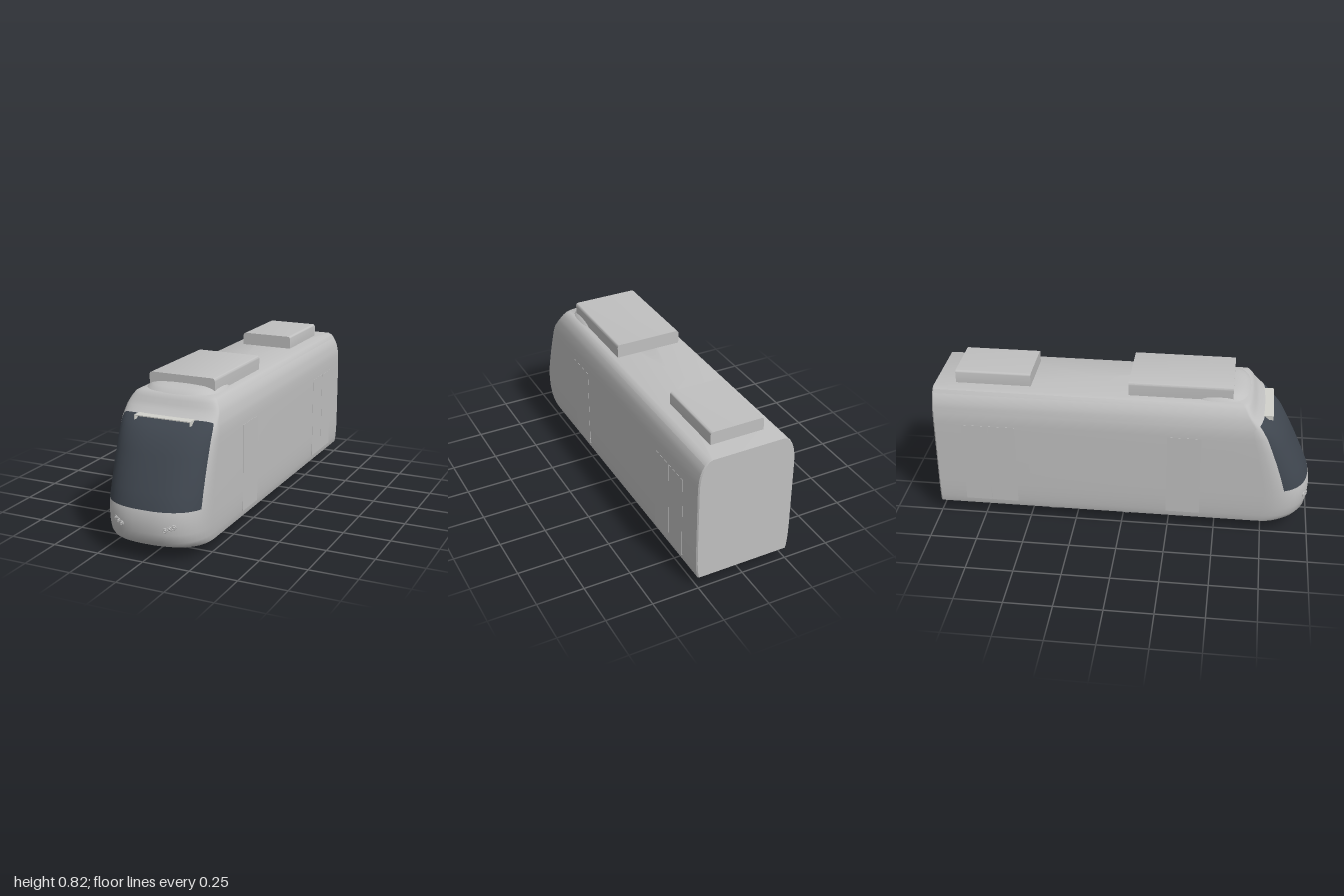
import * as THREE from 'three';
import { toCreasedNormals } from 'three/addons/utils/BufferGeometryUtils.js';

const paint = new THREE.MeshStandardMaterial({ color: 0xc0c0c0 });
paint.name = 'greyPaint';
const glass = new THREE.MeshStandardMaterial({ color: 0x3f464f });
glass.name = 'darkGlass';
const trim = new THREE.MeshStandardMaterial({ color: 0xd2d2cc });
trim.name = 'paleTrim';

const N = 2.5; // squareness of the nose plan
const EDGE = Math.asin(Math.pow(0.943, N / 2)); // column where the windscreen ends

// Skin closed horizontal loops (counter-clockwise from above), with flat caps.
function loft(loops, isGlass = () => false) {
  const n = loops[0].length, pos = [], plain = [], dark = [];
  loops.forEach((l) => l.forEach((p) => pos.push(...p)));
  for (let i = 0; i < loops.length - 1; i++) {
    for (let j = 0; j < n; j++) {
      const k = (j + 1) % n, a = i * n + j, b = i * n + k, c = b + n, d = a + n;
      (isGlass(i, j) ? dark : plain).push(a, b, c, a, c, d);
    }
  }
  [0, loops.length - 1].forEach((row, top) => {
    const l = loops[row], centre = pos.length / 3;
    const zs = l.map((p) => p[2]);
    pos.push(0, l[0][1], (Math.min(...zs) + Math.max(...zs)) / 2);
    for (let j = 0; j < n; j++) {
      const a = row * n + j, b = row * n + (j + 1) % n;
      plain.push(centre, ...(top ? [a, b] : [b, a]));
    }
  });
  const g = new THREE.BufferGeometry();
  g.setAttribute('position', new THREE.Float32BufferAttribute(pos, 3));
  g.setIndex([...plain, ...dark]);
  g.addGroup(0, plain.length, 0);
  g.addGroup(plain.length, dark.length, 1);
  return toCreasedNormals(g, 0.6);
}

const noseZ = (x, w, f, len) => f - len + len * Math.pow(1 - Math.pow(Math.abs(x) / w, N), 1 / N);

export function createModel() {
  const model = new THREE.Group();
  const add = (name, geometry, material, x = 0, y = 0, z = 0) => {
    const m = new THREE.Mesh(geometry, material);
    m.name = name;
    m.position.set(x, y, z);
    model.add(m);
    return m;
  };
  const box = (name, mat, w, h, d, x, y, z) => add(name, new THREE.BoxGeometry(w, h, d), mat, x, y, z);

  // Body slices: height, half width, nose tip z, nose length
  const rows = [
    [0.065, 0.253, 0.93, 0.21], [0.08, 0.257, 0.965, 0.23], [0.105, 0.26, 0.987, 0.24],
    [0.15, 0.263, 0.997, 0.24], [0.21, 0.264, 1.0, 0.24], [0.262, 0.264, 0.99, 0.23],
    [0.34, 0.264, 0.957, 0.21], [0.42, 0.264, 0.92, 0.19], [0.5, 0.264, 0.88, 0.17],
    [0.57, 0.264, 0.842, 0.15], [0.62, 0.2625, 0.793, 0.11], [0.655, 0.258, 0.742, 0.05],
    [0.68, 0.252, 0.705, 0.04], [0.703, 0.243, 0.69, 0.04], [0.725, 0.231, 0.678, 0.04],
    [0.742, 0.217, 0.667, 0.04], [0.75, 0.2, 0.655, 0.04],
  ];
  const angles = [-Math.PI / 2, -1.45, -1.32];
  const inner = 18;
  for (let i = 0; i <= inner; i++) angles.push(EDGE * (2 * i / inner - 1));
  angles.push(1.32, 1.45, Math.PI / 2);
  const GLASS_TOP = 11;
  const loops = rows.map(([y, w, f, len], r) => {
    const nose = angles.map((t) => {
      const u = Math.sign(t) * Math.pow(Math.abs(Math.sin(t)), 2 / N);
      const drop = r === GLASS_TOP ? 0.018 * Math.pow(Math.abs(u), 10) : 0; // rounded screen corners
      return [u * w, y - drop, f - len + len * Math.pow(Math.max(0, Math.cos(t)), 2 / N)];
    });
    return [[-w + 0.006, y, -1], [-w, y, -0.993], ...nose, [w, y, -0.993], [w - 0.006, y, -1]];
  });
  const first = 2 + 3;
  add('bodyWithWindscreen', loft(loops, (i, j) =>
    i >= 5 && i < GLASS_TOP && j >= first && j < first + inner), [paint, glass]);

  // Domed fairing at the front of the roof: height, half width, half length
  const dome = [[0.74, 0.205, 0.165], [0.758, 0.192, 0.15], [0.77, 0.175, 0.13],
    [0.779, 0.145, 0.105], [0.784, 0.09, 0.07]];
  const power = (v) => Math.sign(v) * Math.pow(Math.abs(v), 0.7);
  add('roofFairing', loft(dome.map(([y, w, l]) => Array.from({ length: 40 }, (_, i) => {
    const t = i / 40 * Math.PI * 2;
    return [w * power(Math.sin(t)), y, 0.5 + l * power(Math.cos(t))];
  }))), [paint, glass]);

  // Roof equipment boxes with softened long edges
  const roofBox = (name, w, top, z0, z1) => {
    const r = 0.016, s = new THREE.Shape();
    s.moveTo(-w, 0.74);
    s.lineTo(w, 0.74);
    s.lineTo(w, top - r);
    s.quadraticCurveTo(w, top, w - r, top);
    s.lineTo(-w + r, top);
    s.quadraticCurveTo(-w, top, -w, top - r);
    const g = new THREE.ExtrudeGeometry(s, { depth: z1 - z0, bevelEnabled: false, curveSegments: 5 });
    add(name, toCreasedNormals(g, 0.6), paint, 0, 0, z0);
  };
  roofBox('frontRoofBox', 0.18, 0.823, 0.03, 0.57);
  roofBox('rearRoofBox', 0.145, 0.818, -0.89, -0.49);

  // Lamp hood over the windscreen
  box('lampHoodTop', trim, 0.304, 0.005, 0.05, 0, 0.6555, 0.757);
  for (const s of [-1, 1]) box('lampHoodEnd', trim, 0.004, 0.024, 0.05, s * 0.15, 0.646, 0.757);

  // Wheels: tread with an inner flange, turned about the axle
  const wheelGeo = toCreasedNormals(new THREE.LatheGeometry([
    [0, -0.013], [0.066, -0.013], [0.07, -0.009], [0.07, -0.004], [0.062, 0], [0.06, 0.01],
    [0.055, 0.013], [0, 0.013]].map(([r, y]) => new THREE.Vector2(r, y)), 36), 0.6);
  const axleGeo = new THREE.CylinderGeometry(0.006, 0.006, 0.32, 12);

  for (const z of [0.015, -0.39]) {
    add('axle', axleGeo, paint, 0, 0.064, z).rotation.z = Math.PI / 2;
    for (const s of [-1, 1]) add('wheel', wheelGeo, paint, s * 0.17, 0.07, z).rotation.z = -s * Math.PI / 2;
  }

  // Headlamp trios and door panels on both sides
  const rimGeo = new THREE.TorusGeometry(0.0105, 0.003, 8, 24);
  const lensGeo = new THREE.SphereGeometry(0.008, 16, 10);
  for (const s of [-1, 1]) {
    for (const [x, y] of [[0.117, 0.176], [0.137, 0.184], [0.156, 0.192]]) {
      const z = noseZ(x, 0.264, 0.999, 0.24);
      const slope = (noseZ(x + 0.005, 0.264, 0.999, 0.24) - z) / 0.005;
      add('headlampRim', rimGeo, paint, s * x, y, z + 0.001).rotation.y = s * Math.atan(-slope);
      add('headlampLens', lensGeo, paint, s * x, y, z - 0.002);
    }
    for (const [z0, z1] of [[0.24, 0.42], [-0.708, -0.565], [-0.85, -0.711]]) {
      box('doorPanel', paint, 0.008, 0.46, z1 - z0, s * 0.2612, 0.33, (z0 + z1) / 2);
    }
  }
  return model;
}
